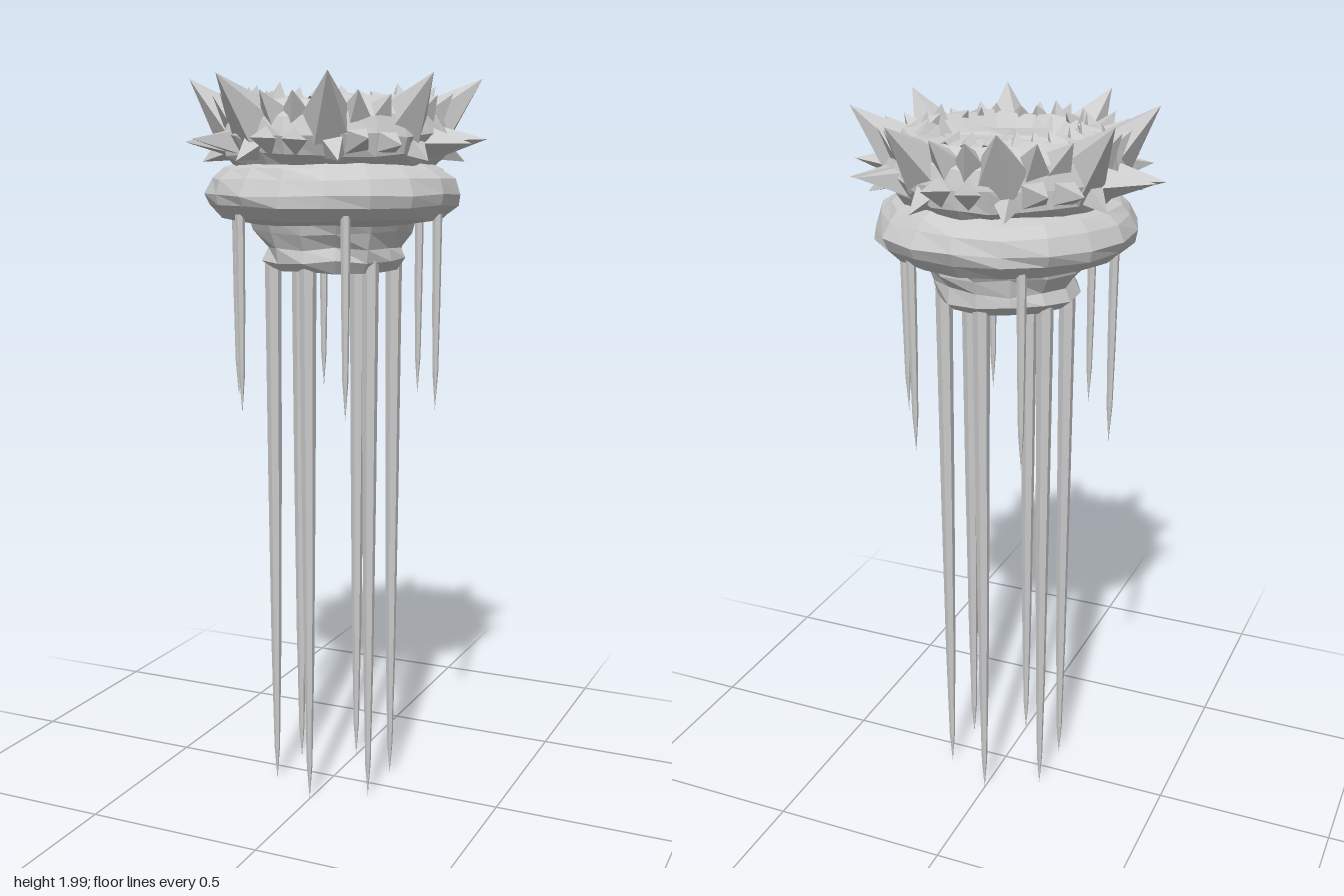
import * as THREE from 'three';

const material = new THREE.MeshStandardMaterial({ color: 0xcccccc, flatShading: true });
const rad = THREE.MathUtils.degToRad;

// Repeatable noise in -1..1
function noise(n) {
  const s = Math.sin(n * 12.9898 + 4.1) * 43758.5453;
  return (s - Math.floor(s)) * 2 - 1;
}

// Faceted solid of revolution; profile of [radius, y] from bottom to top
function turned(name, profile, sides, rough = 0) {
  const geo = new THREE.LatheGeometry(profile.map(([r, y]) => new THREE.Vector2(r, y)), sides);
  const p = geo.attributes.position;
  const rings = profile.length;
  for (let i = 0; i < p.count && rough; i++) {
    const ring = i % rings;
    if (profile[ring][0] === 0) continue;
    const seed = (Math.floor(i / rings) % sides) * rings + ring + 1;
    const k = 1 + (rough * noise(seed)) / profile[ring][0];
    p.setXYZ(i, p.getX(i) * k, p.getY(i) + rough * 0.6 * noise(seed + 500), p.getZ(i) * k);
  }
  const mesh = new THREE.Mesh(geo, material);
  mesh.name = name;
  return mesh;
}

// Point at radius r, height y and angle in degrees (seen from above)
function polar(r, y, deg) {
  return new THREE.Vector3(r * Math.cos(rad(deg)), y, -r * Math.sin(rad(deg)));
}

// Pyramid spike between two points
function spike(name, base, tip, width, sides = 5) {
  const dir = tip.clone().sub(base);
  const geo = new THREE.ConeGeometry(width, dir.length(), sides);
  geo.translate(0, dir.length() / 2, 0);
  const mesh = new THREE.Mesh(geo, material);
  mesh.name = name;
  mesh.position.copy(base);
  mesh.quaternion.setFromUnitVectors(new THREE.Vector3(0, 1, 0), dir.normalize());
  return mesh;
}

export function createModel() {
  const model = new THREE.Group();
  model.name = 'hangingSpikyBody';

  // Lower cup
  model.add(turned('lowerCup', [
    [0, 1.485], [0.175, 1.49], [0.195, 1.515], [0.19, 1.55], [0.215, 1.59], [0.23, 1.63],
  ], 14, 0.01));

  // Bulging middle ring
  model.add(turned('middleRing', [
    [0, 1.61], [0.22, 1.61], [0.3, 1.625], [0.338, 1.66], [0.343, 1.69],
    [0.328, 1.73], [0.3, 1.758], [0.25, 1.775],
  ], 18, 0.007));

  // Crown core with its shallow floor
  const crown = new THREE.Group();
  crown.name = 'crown';
  model.add(crown);
  crown.add(turned('crownCore', [
    [0.26, 1.755], [0.295, 1.79], [0.31, 1.84], [0.295, 1.89], [0.25, 1.935],
    [0.21, 1.94], [0.165, 1.905], [0.08, 1.912], [0, 1.915],
  ], 24, 0.012));

  for (let k = 0; k < 8; k++) {
    const mid = k * 45 - 2;
    const high = mid + 22.5;
    const j = noise(k + 40);

    // Tall spikes leaning outward, with a small drooping spike below each
    crown.add(spike('tallSpike', polar(0.26, 1.865, high),
      polar(0.392 + 0.01 * j, 1.995 - 0.008 * Math.abs(j), high + 2 * j), 0.075));
    crown.add(spike('droopingSpike', polar(0.27, 1.82, high + 3),
      polar(0.355, 1.775, high + 3 + 3 * j), 0.048, 4));

    // Paired side spikes
    for (const s of [-1, 1]) {
      const n = noise(k * 2 + s + 90);
      const reach = 0.4 + 0.02 * Math.cos(rad(2 * mid)) + 0.012 * n;
      crown.add(spike('sideSpike', polar(0.265, 1.825, mid + s * 8),
        polar(reach, 1.825 + 0.025 * n, mid + s * 6.5), 0.05, 4));
      crown.add(spike('shoulderSpike', polar(0.26, 1.88, mid + s * 6),
        polar(0.325 + 0.015 * n, 1.945 + 0.015 * n, mid + s * 8), 0.05, 4));
    }

    // Small teeth around the floor
    for (const s of [-1, 0, 1]) {
      const n = noise(k * 3 + s + 200);
      crown.add(spike('innerTooth', polar(0.225, 1.915, mid + s * 14),
        polar(0.2 + 0.02 * n, 1.965 + 0.012 * n, mid + s * 13), 0.034, 4));
    }
  }

  // Long and short hanging needles, six of each
  for (let k = 0; k < 6; k++) {
    const long = turned('longNeedle',
      [[0, 0], [0.008, 0.1], [0.014, 0.4], [0.019, 0.9], [0.023, 1.52]], 6);
    long.position.copy(polar(0.166, 0, 30 + k * 60));
    const short = turned('shortNeedle',
      [[0, 1.115], [0.008, 1.22], [0.011, 1.4], [0.013, 1.64]], 6);
    short.position.copy(polar(0.3, 0, k * 60));
    model.add(long, short);
  }
  return model;
}
